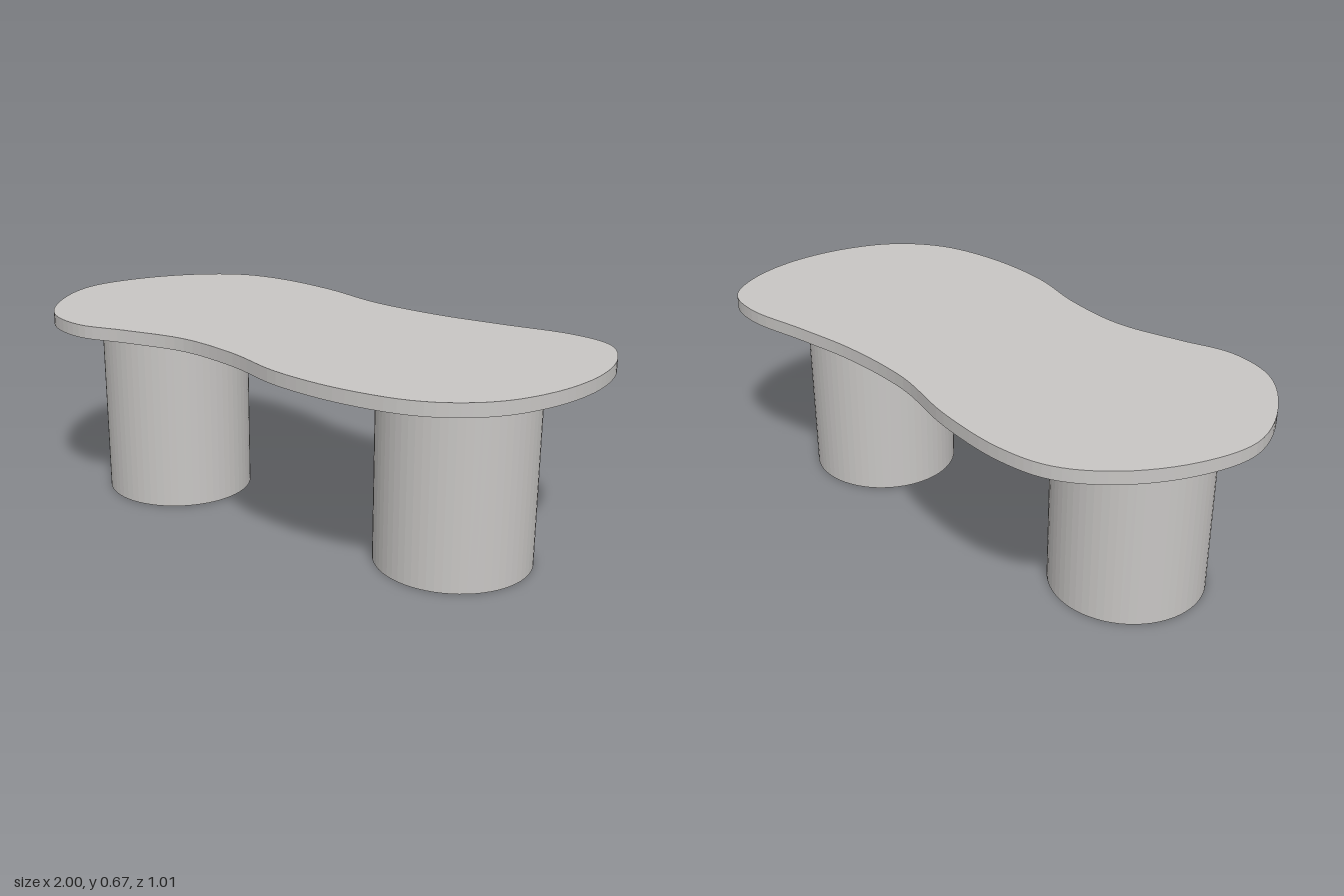
import * as THREE from 'three';

const TOP_Y = 0.67;
const THICKNESS = 0.043;

// Outline of the free-form top as [x, z] points
const OUTLINE = [
  [-1, 0], [-0.945, -0.2], [-0.82, -0.38], [-0.67, -0.485], [-0.5, -0.51],
  [-0.25, -0.475], [0, -0.4], [0.27, -0.375], [0.5, -0.387], [0.75, -0.405],
  [0.89, -0.36], [0.97, -0.23], [1, -0.04], [0.965, 0.17], [0.87, 0.35],
  [0.71, 0.465], [0.48, 0.502], [0.22, 0.475], [0, 0.4], [-0.23, 0.362],
  [-0.45, 0.395], [-0.63, 0.43], [-0.8, 0.375], [-0.94, 0.2],
];

export function createModel() {
  const group = new THREE.Group();
  group.name = 'table';
  const stone = new THREE.MeshStandardMaterial({ color: 0xc8c6c4 });
  stone.name = 'warm grey';

  // Curved slab top
  const curve = new THREE.CatmullRomCurve3(
    OUTLINE.map(([x, z]) => new THREE.Vector3(x, -z, 0)), true);
  const shape = new THREE.Shape(
    curve.getPoints(144).slice(0, -1).map((p) => new THREE.Vector2(p.x, p.y)));
  const slab = new THREE.ExtrudeGeometry(shape, { depth: THICKNESS, bevelEnabled: false });
  slab.rotateX(-Math.PI / 2);
  const top = new THREE.Mesh(slab, stone);
  top.name = 'tableTop';
  top.position.y = TOP_Y - THICKNESS;
  group.add(top);

  // Two faceted drum legs
  const legHeight = TOP_Y - THICKNESS;
  const drum = new THREE.CylinderGeometry(0.256, 0.256, legHeight, 64).toNonIndexed();
  drum.computeVertexNormals();
  for (const [name, side] of [['leftLeg', 1], ['rightLeg', -1]]) {
    const leg = new THREE.Mesh(drum, stone);
    leg.name = name;
    leg.position.set(side * 0.573, legHeight / 2, 0.017);
    group.add(leg);
  }
  return group;
}
